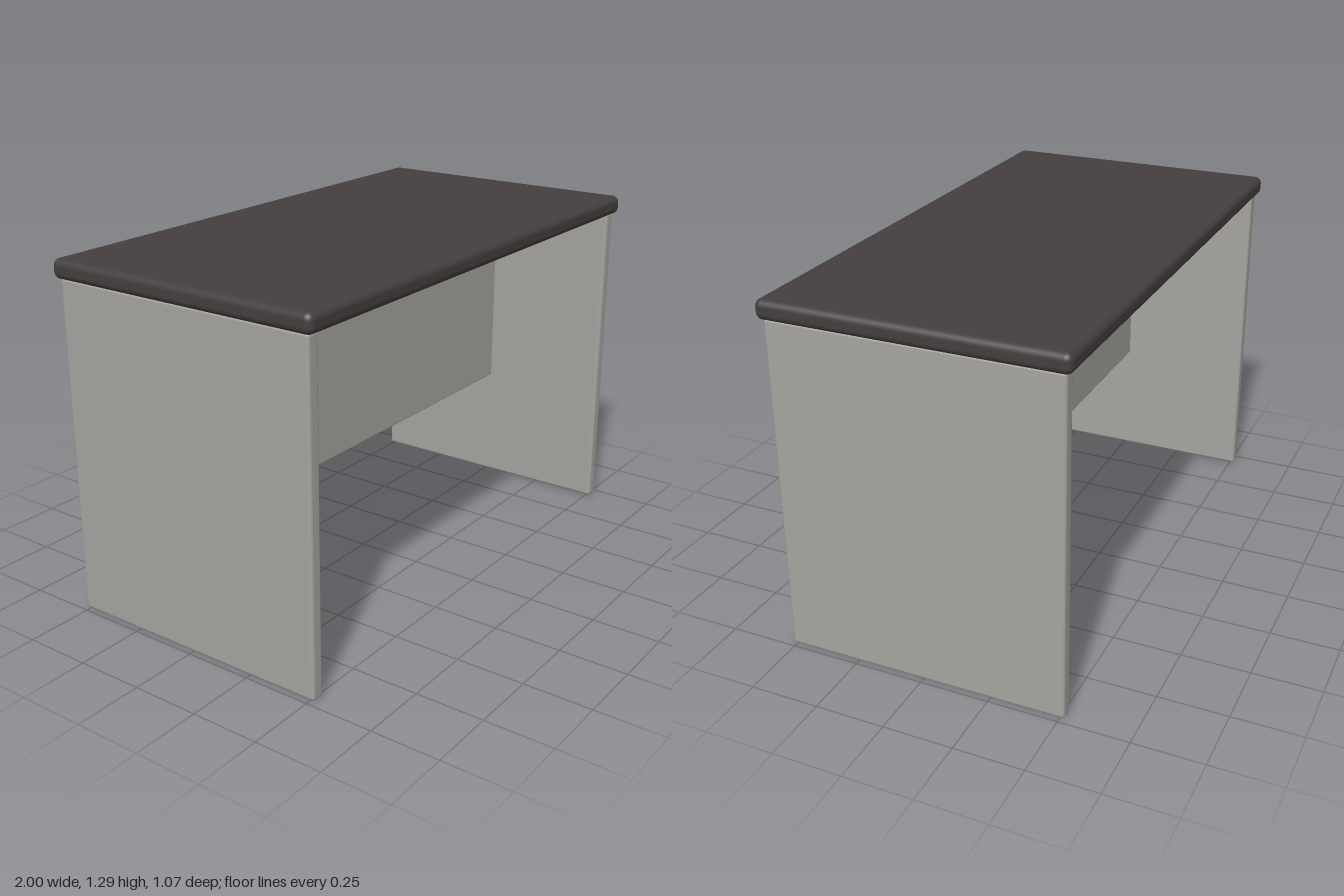
import * as THREE from 'three';
import { RoundedBoxGeometry } from 'three/addons/geometries/RoundedBoxGeometry.js';

export function createModel() {
  const desk = new THREE.Group();
  desk.name = 'desk';

  const darkTop = new THREE.MeshStandardMaterial({ name: 'dark charcoal', color: 0x443f3e });
  const grey = new THREE.MeshStandardMaterial({ name: 'warm grey', color: 0xa6a49f });

  // Softly rounded slab spanning min to max
  const slab = (name, material, min, max, radius) => {
    const size = max.map((v, i) => v - min[i]);
    const mesh = new THREE.Mesh(new RoundedBoxGeometry(...size, 4, radius), material);
    mesh.position.set(...max.map((v, i) => (v + min[i]) / 2));
    mesh.name = name;
    desk.add(mesh);
  };

  // Overhanging desktop with rounded rim
  slab('desktop', darkTop, [-1, 1.22, -0.537], [1, 1.29, 0.537], 0.025);

  // Thin grey lining under the desktop
  slab('underside', grey, [-0.95, 1.215, -0.51], [0.95, 1.223, 0.51], 0.002);

  // Full-depth side panels that carry the top
  slab('rightSidePanel', grey, [-0.983, 0, -0.516], [-0.933, 1.225, 0.516], 0.012);
  slab('leftSidePanel', grey, [0.933, 0, -0.516], [0.983, 1.225, 0.516], 0.012);

  // Central panel hung between the sides
  slab('modestyPanel', grey, [-0.945, 0.447, -0.014], [0.945, 1.22, 0.014], 0.006);

  return desk;
}
